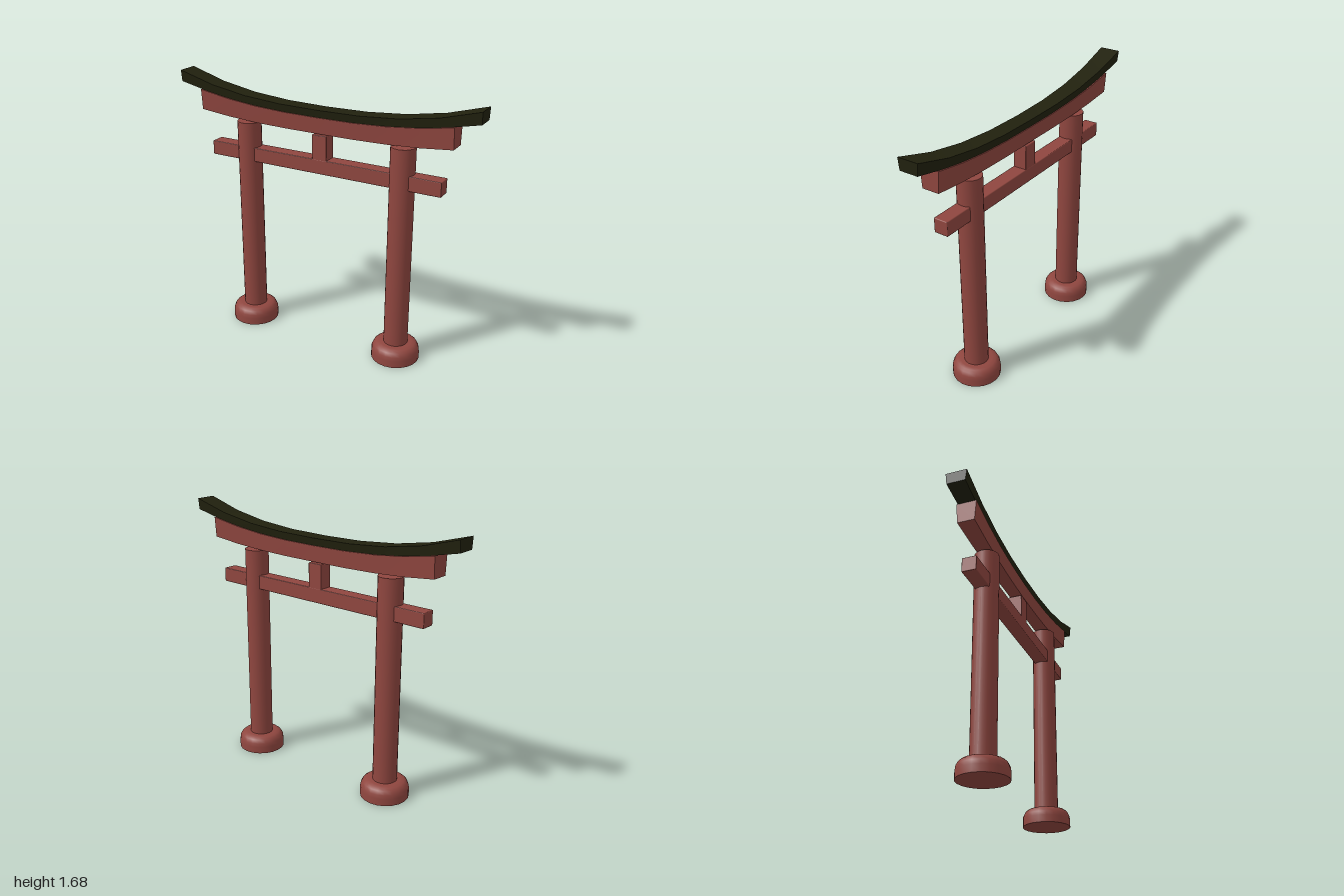
import * as THREE from 'three';
import { toCreasedNormals } from 'three/addons/utils/BufferGeometryUtils.js';
import { RoundedBoxGeometry } from 'three/addons/geometries/RoundedBoxGeometry.js';

// Curved beam: trapezoid cross-sections swept along x.
// section(x) returns [bottomY, topY, bottomHalfDepth, topHalfDepth]
function curvedBeam(stations, section) {
  const pos = [], index = [];
  for (const x of stations) {
    const [y0, y1, w0, w1] = section(x);
    pos.push(x, y0, w0, x, y1, w1, x, y1, -w1, x, y0, -w0);
  }
  const last = stations.length - 1;
  for (let i = 0; i < last; i++) {
    for (let j = 0; j < 4; j++) {
      const a = i * 4 + j, b = i * 4 + (j + 1) % 4;
      index.push(a, a + 4, b + 4, a, b + 4, b);
    }
  }
  const e = last * 4;
  index.push(0, 1, 2, 0, 2, 3, e, e + 2, e + 1, e, e + 3, e + 2);
  const geometry = new THREE.BufferGeometry();
  geometry.setAttribute('position', new THREE.Float32BufferAttribute(pos, 3));
  geometry.setIndex(index);
  return toCreasedNormals(geometry, 0.5);
}

export function createModel() {
  const red = new THREE.MeshStandardMaterial({ color: 0x8f463f });
  red.name = 'weathered red';
  const dark = new THREE.MeshStandardMaterial({ color: 0x21210e });
  dark.name = 'dark olive';

  const model = new THREE.Group();
  model.name = 'gate';
  const add = (name, geometry, material, x = 0, y = 0, z = 0) => {
    const mesh = new THREE.Mesh(geometry, material);
    mesh.name = name;
    mesh.position.set(x, y, z);
    model.add(mesh);
  };

  // Upswept top rail and the beam beneath it, both flaring towards the ends
  const rise = (x, p) => Math.abs(x) ** p;
  const roofStations = [-1, -0.76, -0.52, -0.27, 0, 0.27, 0.52, 0.76, 1];
  add('roofRail', curvedBeam(roofStations, (x) => {
    const flare = 0.015 * rise(x, 1.5);
    return [1.5 + 0.107 * rise(x, 2.5), 1.548 + 0.132 * rise(x, 2.6), 0.043 + flare, 0.051 + flare];
  }), dark);

  const beamStations = roofStations.map((x) => x * 0.85);
  add('upperBeam', curvedBeam(beamStations, (x) => {
    const flare = 0.014 * rise(x / 0.85, 1.5);
    return [1.4 + 0.042 * rise(x / 0.85, 2.7), 1.501 + 0.107 * rise(x, 2.5), 0.04 + flare, 0.049 + flare];
  }), red);

  // Tie beam passing through both pillars, with a short centre strut
  add('tieBeam', new RoundedBoxGeometry(1.58, 0.092, 0.092, 1, 0.005), red, 0, 1.193);
  add('centreStrut', new RoundedBoxGeometry(0.1, 0.165, 0.09, 1, 0.005), red, 0, 1.31);

  // Pillars on round-shouldered footings
  const pillar = new THREE.CylinderGeometry(0.076, 0.076, 1.34, 20);
  const profile = [
    [0, 0], [0.152, 0], [0.152, 0.045], [0.149, 0.07], [0.138, 0.093],
    [0.122, 0.106], [0.1, 0.11], [0, 0.11],
  ].map(([r, y]) => new THREE.Vector2(r, y));
  const footing = toCreasedNormals(new THREE.LatheGeometry(profile, 20), 0.9);
  for (const [side, x] of [['left', 0.53], ['right', -0.53]]) {
    add(side + 'Pillar', pillar, red, x, 0.73);
    add(side + 'Footing', footing, red, x);
  }
  return model;
}
